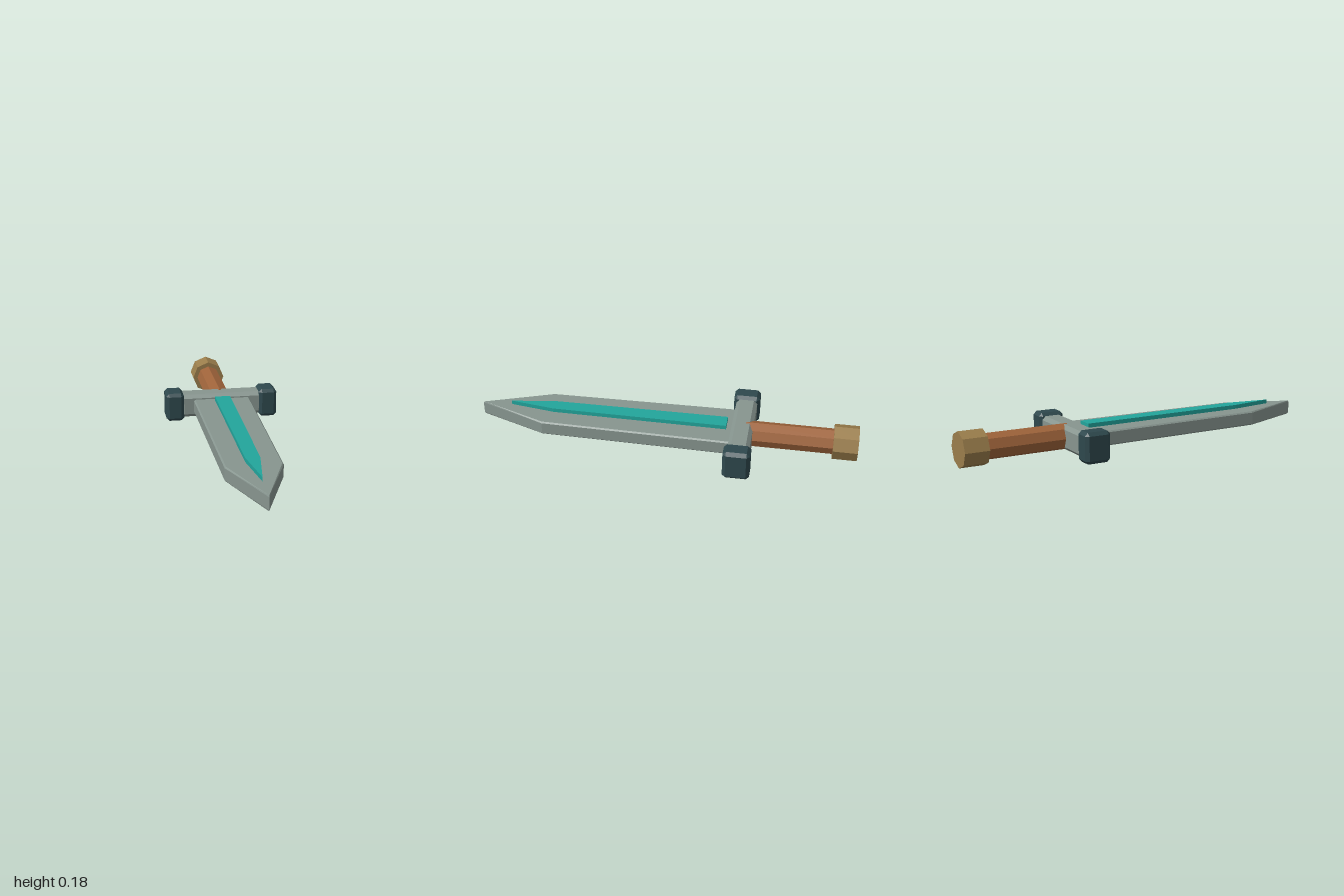
import * as THREE from 'three';
import { ConvexGeometry } from 'three/addons/geometries/ConvexGeometry.js';

const MID = 0.094; // height of the dagger's long axis

function material(name, color) {
  const m = new THREE.MeshStandardMaterial({ color, flatShading: true });
  m.name = name;
  return m;
}

// Box with all edges chamfered by c
function chamferBox(w, h, d, c) {
  const points = [];
  for (const sx of [-1, 1]) for (const sy of [-1, 1]) for (const sz of [-1, 1]) {
    const x = w / 2, y = h / 2, z = d / 2;
    points.push(
      new THREE.Vector3(sx * x, sy * (y - c), sz * (z - c)),
      new THREE.Vector3(sx * (x - c), sy * y, sz * (z - c)),
      new THREE.Vector3(sx * (x - c), sy * (y - c), sz * z));
  }
  return new ConvexGeometry(points);
}

// Pointed slab along z: outline of [half width, z], with a small edge bevel
function pointedSlab(outline, halfHeight, bevel) {
  const points = [];
  for (const [x, z] of outline) for (const sx of x ? [-1, 1] : [1]) for (const sy of [-1, 1]) {
    points.push(new THREE.Vector3(sx * x, sy * (halfHeight - bevel), z));
    if (bevel) points.push(new THREE.Vector3(sx * Math.max(x - bevel, 0), sy * halfHeight, x ? z : z - bevel));
  }
  return new ConvexGeometry(points);
}

// Eight-sided rod along z, with corners on the axes
function octagonRod(radius, z0, z1) {
  return new THREE.CylinderGeometry(radius, radius, z1 - z0, 8)
    .rotateX(Math.PI / 2)
    .translate(0, 0, (z0 + z1) / 2);
}

export function createModel() {
  const steel = material('steel', 0x87958f);
  const teal = material('teal', 0x22a59c);
  const darkSteel = material('darkSteel', 0x2e484d);
  const leather = material('leather', 0x9e633a);
  const brass = material('brass', 0x9a7d4b);

  const group = new THREE.Group();
  group.name = 'dagger';
  const add = (name, geometry, mat, x = 0, z = 0) => {
    const mesh = new THREE.Mesh(geometry, mat);
    mesh.name = name;
    mesh.position.set(x, MID, z);
    group.add(mesh);
  };

  // Blade and the raised inlay that shows on both faces
  add('blade', pointedSlab([[0.157, -0.4], [0.141, 0.64], [0, 1]], 0.038, 0.007), steel);
  add('inlay', pointedSlab([[0.042, -0.32], [0.036, 0.6], [0, 0.84]], 0.0595, 0), teal);

  // Crossguard with a heavy block on each end
  add('crossguard', chamferBox(0.46, 0.128, 0.112, 0.019), steel, 0, -0.402);
  for (const side of [-1, 1]) {
    add(side > 0 ? 'leftGuardBlock' : 'rightGuardBlock',
      chamferBox(0.1, 0.158, 0.138, 0.017), darkSteel, side * 0.261, -0.401);
  }

  // Grip and pommel
  add('grip', octagonRod(0.067, -0.89, -0.42), leather);
  add('pommel', octagonRod(0.092, -1, -0.873), brass);
  return group;
}
